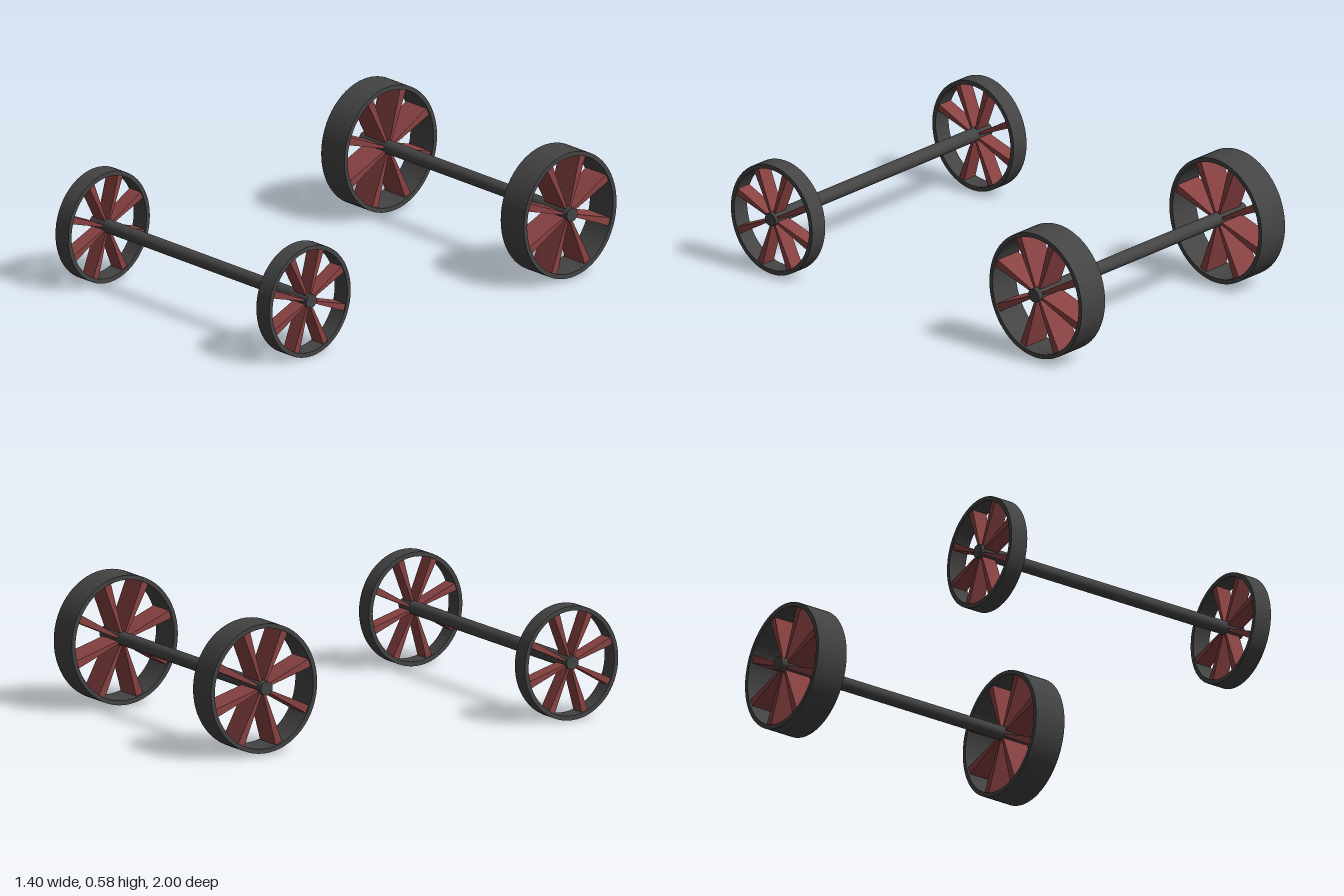
import * as THREE from 'three';

const SQUASH = 0.933; // wheels are slightly narrower front to back than tall

const dark = new THREE.MeshStandardMaterial({ color: 0x444444 });
const red = new THREE.MeshStandardMaterial({ color: 0x8a4242 });

// Extrude a flat shape, centred on its own thickness
function slab(shape, depth) {
  const geo = new THREE.ExtrudeGeometry(shape, { depth, bevelEnabled: false, curveSegments: 32 });
  return geo.translate(0, 0, -depth / 2);
}

// Open rim with eight tapering blades, turning about the x axis
function createWheel(name, radius, width) {
  const wheel = new THREE.Group();
  wheel.name = name;

  const ring = new THREE.Shape().absarc(0, 0, radius, 0, Math.PI * 2, false);
  ring.holes.push(new THREE.Path().absarc(0, 0, radius - 0.02, 0, Math.PI * 2, true));
  const rim = new THREE.Mesh(slab(ring, width), dark);
  rim.name = 'rim';
  wheel.add(rim);

  // Blade: narrow at the axle, wide at the rim
  const inner = radius * 0.02, outer = radius * 0.066, end = radius - 0.012;
  const wedge = new THREE.Shape([
    new THREE.Vector2(0.026, -inner),
    new THREE.Vector2(end, -outer),
    new THREE.Vector2(end, outer),
    new THREE.Vector2(0.026, inner),
  ]);
  const bladeGeo = slab(wedge, width * 0.86);
  for (let i = 0; i < 8; i++) {
    const blade = new THREE.Mesh(bladeGeo, red);
    blade.name = 'spoke';
    blade.rotation.z = THREE.MathUtils.degToRad(26 + i * 45);
    wheel.add(blade);
  }

  wheel.rotation.y = Math.PI / 2;
  wheel.scale.x = SQUASH;
  return wheel;
}

// Axle with a wheel near each end
function createWheelSet(name, { radius, width, wheelX, wheelY, offset, z, axleY, axleFrom, axleTo }) {
  const set = new THREE.Group();
  set.name = name;

  const axleGeo = new THREE.CylinderGeometry(0.03, 0.03, axleTo - axleFrom, 32).rotateZ(Math.PI / 2);
  const axle = new THREE.Mesh(axleGeo, dark);
  axle.name = 'axle';
  axle.position.set((axleFrom + axleTo) / 2, axleY, z);
  set.add(axle);

  for (const side of [1, -1]) {
    const wheel = createWheel(side > 0 ? 'leftWheel' : 'rightWheel', radius, width);
    wheel.position.set(offset + side * wheelX, wheelY, z);
    set.add(wheel);
  }
  return set;
}

export function createModel() {
  const model = new THREE.Group();
  model.name = 'wheelsAndAxles';
  model.add(
    createWheelSet('frontWheelSet', {
      radius: 0.25, width: 0.083, wheelX: 0.649, wheelY: 0.25, offset: 0,
      z: 0.766, axleY: 0.254, axleFrom: -0.7, axleTo: 0.7,
    }),
    createWheelSet('rearWheelSet', {
      radius: 0.284, width: 0.15, wheelX: 0.58, wheelY: 0.293, offset: 0.022,
      z: -0.735, axleY: 0.298, axleFrom: -0.655, axleTo: 0.69,
    }),
  );
  return model;
}
